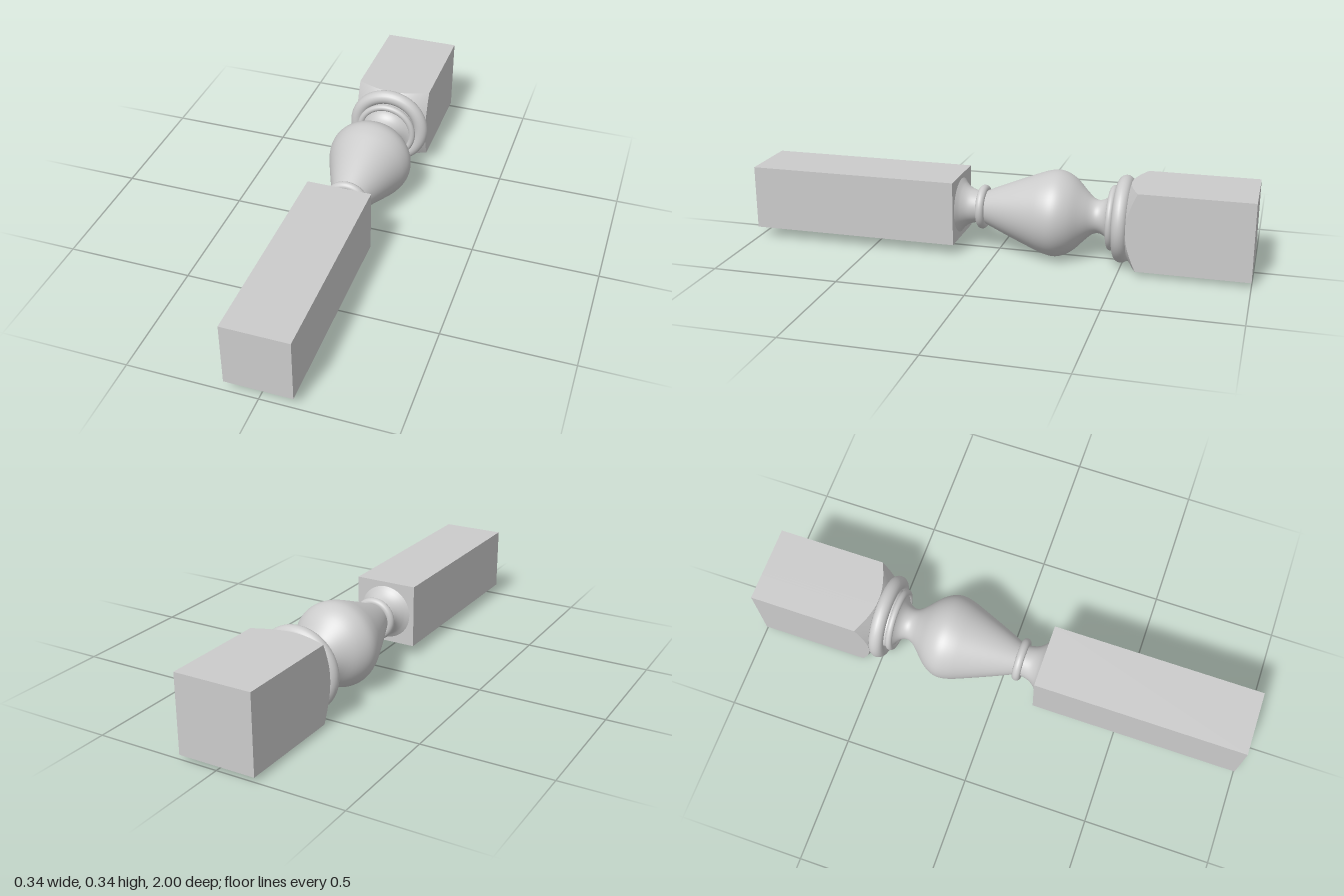
import * as THREE from 'three';
import { toCreasedNormals } from 'three/addons/utils/BufferGeometryUtils.js';

const AXIS_Y = 0.172;
const material = new THREE.MeshStandardMaterial({ color: 0xcccccc });

function add(group, name, geometry, z = 0) {
  const mesh = new THREE.Mesh(geometry, material);
  mesh.name = name;
  mesh.position.set(0, AXIS_Y, z);
  group.add(mesh);
}

// Smooth turned section along z; each point is [radius, z], z ascending
function turned(points) {
  const curve = new THREE.SplineCurve(points.map(([r, z]) => new THREE.Vector2(r, z)));
  return new THREE.LatheGeometry(curve.getPoints(48), 72).rotateX(Math.PI / 2);
}

// Rounded bead around the axis
function bead(outerRadius, halfWidth) {
  return new THREE.TorusGeometry(outerRadius - halfWidth, halfWidth, 20, 72);
}

// Square block whose front corners are turned down by a cone
function turnedBlock(half, back, front, slope) {
  const n = 96, pos = [], index = [];
  const rings = [
    () => [0, back],
    (r) => [r, back],
    (r) => [r, front - (r - half) * slope],
    () => [half, front],
    () => [0, front],
  ];
  for (const ring of rings) {
    for (let i = 0; i < n; i++) {
      const a = (i / n) * Math.PI * 2, c = Math.cos(a), s = Math.sin(a);
      const [r, z] = ring(half / Math.max(Math.abs(c), Math.abs(s)));
      pos.push(r * c, r * s, z);
    }
  }
  for (let k = 0; k < rings.length - 1; k++) {
    for (let i = 0; i < n; i++) {
      const a = k * n + i, b = k * n + (i + 1) % n;
      index.push(a, b, b + n, a, b + n, a + n);
    }
  }
  const geometry = new THREE.BufferGeometry();
  geometry.setAttribute('position', new THREE.Float32BufferAttribute(pos, 3));
  geometry.setIndex(index);
  return toCreasedNormals(geometry, 0.35);
}

export function createModel() {
  const group = new THREE.Group();
  group.name = 'turnedLeg';

  // Square ends
  add(group, 'lowerBlock', new THREE.BoxGeometry(0.256, 0.256, 0.842), 0.579);
  add(group, 'upperBlock', turnedBlock(0.154, -1, -0.525, 0.67));

  // Flare into the lower block
  add(group, 'lowerFlare', turned([[0.06, 0.06], [0.064, 0.09], [0.073, 0.12], [0.09, 0.143], [0.112, 0.16]]));
  add(group, 'lowerBead', bead(0.088, 0.017), 0.066);

  // Vase-shaped body with its upper neck
  add(group, 'vase', turned([
    [0.12, -0.452], [0.095, -0.443], [0.074, -0.425], [0.065, -0.4], [0.073, -0.375], [0.1, -0.345],
    [0.14, -0.305], [0.163, -0.268], [0.171, -0.232], [0.164, -0.19], [0.146, -0.14],
    [0.106, -0.04], [0.07, 0.045], [0.06, 0.066],
  ]));

  // Upper rings and the core that joins them to the block
  add(group, 'neckBead', bead(0.128, 0.0135), -0.455);
  const core = new THREE.CylinderGeometry(0.118, 0.118, 0.08, 72).rotateX(Math.PI / 2);
  add(group, 'collarCore', core, -0.49);
  add(group, 'collar', bead(0.171, 0.029), -0.498);

  return group;
}
